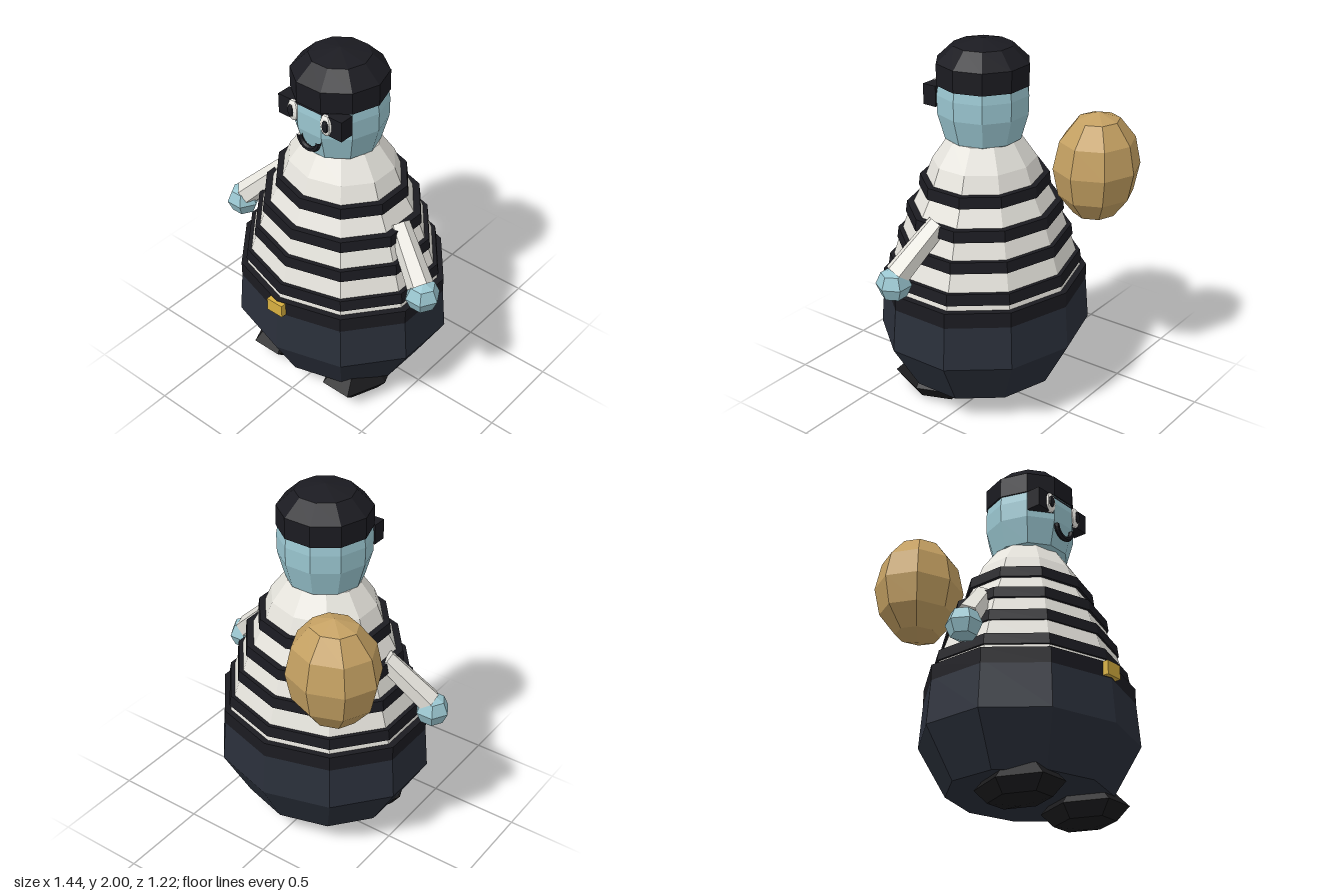
import * as THREE from 'three';

const paint = (color) => new THREE.MeshStandardMaterial({ color, flatShading: true });
const COLORS = {
  shirt: paint(0xe6e4dd), black: paint(0x1b1b21), pants: paint(0x2a2f3a), shoe: paint(0x1a1a1c),
  skin: paint(0x9ac6d0), sack: paint(0xc4a062), gold: paint(0xd8b040), white: paint(0xf0eee8),
};
const BODY_Z = 0.065;

export function createModel() {
  const model = new THREE.Group();
  model.name = 'burglar';

  const add = (name, geometry, material, x = 0, y = 0, z = 0, parent = model) => {
    const mesh = new THREE.Mesh(geometry, material);
    mesh.name = name;
    mesh.position.set(x, y, z);
    parent.add(mesh);
    return mesh;
  };
  // Ten-sided turned form from [radius, height] pairs
  const turned = (profile) =>
    new THREE.LatheGeometry(profile.map(([r, y]) => new THREE.Vector2(r, y)), 10);
  const ellipsoid = (rx, ry, rz, across, up) =>
    new THREE.SphereGeometry(1, across, up).scale(rx, ry, rz);

  // Torso, slightly flattened front to back
  const torso = new THREE.Group();
  torso.name = 'torso';
  torso.position.z = BODY_Z;
  torso.scale.z = 0.895;
  model.add(torso);
  add('trousers', turned([[0, 0.14], [0.455, 0.14], [0.61, 0.4], [0.588, 0.66], [0, 0.66]]),
    COLORS.pants, 0, 0, 0, torso);
  add('belt', turned([[0, 0.635], [0.59, 0.635], [0.59, 0.72], [0, 0.72]]), COLORS.black, 0, 0, 0, torso);
  add('shirt', turned([[0.558, 0.7], [0.545, 0.76], [0.492, 0.91], [0.435, 1.06], [0.36, 1.2],
    [0.295, 1.36], [0.205, 1.48], [0, 1.48]]), COLORS.shirt, 0, 0, 0, torso);

  // Shirt stripes: [bottom, bottom radius, top radius]
  [[0.75, 0.56, 0.55], [0.905, 0.505, 0.497], [1.055, 0.452, 0.444], [1.21, 0.374, 0.366]]
    .forEach(([y, low, high]) => {
      add('stripe', turned([[low - 0.04, y], [low, y], [high, y + 0.06], [high - 0.06, y + 0.06]]),
        COLORS.black, 0, 0, 0, torso);
    });
  add('buckle', new THREE.BoxGeometry(0.1, 0.075, 0.04), COLORS.gold, 0, 0.68, 0.59);

  // Head and cap, turned so a flat side faces forward
  const head = new THREE.Group();
  head.name = 'head';
  head.position.z = 0.075;
  head.rotation.y = Math.PI / 10;
  model.add(head);
  add('face', turned([[0, 1.42], [0.12, 1.43], [0.205, 1.48], [0.245, 1.62], [0.247, 1.72], [0.235, 1.8]]),
    COLORS.skin, 0, 0, 0, head);
  add('capBand', turned([[0, 1.77], [0.248, 1.77], [0.248, 1.885]]), COLORS.black, 0, 0, 0, head);
  add('capDome', turned([[0.248, 1.88], [0.157, 1.967], [0, 2]]), COLORS.black, 0, 0, 0, head);

  // Mask and smile
  add('mask', new THREE.BoxGeometry(0.405, 0.11, 0.08), COLORS.black, 0, 1.71, 0.265);
  const smile = add('smile', new THREE.TorusGeometry(0.062, 0.015, 6, 12, Math.PI),
    COLORS.black, 0, 1.595, 0.312);
  smile.rotation.z = Math.PI;

  // Mirrored parts
  for (const side of [1, -1]) {
    add('eye', ellipsoid(0.037, 0.06, 0.02, 10, 8), COLORS.white, side * 0.105, 1.71, 0.303);
    add('pupil', ellipsoid(0.022, 0.036, 0.012, 8, 6), COLORS.black, side * 0.11, 1.71, 0.317);

    // Sleeve running from shoulder to wrist
    const from = new THREE.Vector3(side * 0.385, 1.11, 0.075);
    const to = new THREE.Vector3(side * 0.605, 0.88, 0.17);
    const along = to.clone().sub(from);
    const sleeve = add('sleeve', new THREE.CylinderGeometry(0.07, 0.058, along.length(), 6), COLORS.shirt);
    sleeve.position.copy(from).addScaledVector(along, 0.5);
    sleeve.quaternion.setFromUnitVectors(new THREE.Vector3(0, 1, 0), along.normalize());

    add('hand', ellipsoid(0.093, 0.09, 0.095, 6, 4), COLORS.skin, side * 0.625, 0.833, 0.175);
    add('shoe', ellipsoid(0.175, 0.1, 0.25, 6, 4), COLORS.shoe, side * 0.255, 0.1, 0.215);
  }

  // Loot sack behind the right shoulder
  add('sack', ellipsoid(0.252, 0.302, 0.227, 8, 6), COLORS.sack, -0.383, 1.292, -0.385);

  return model;
}
